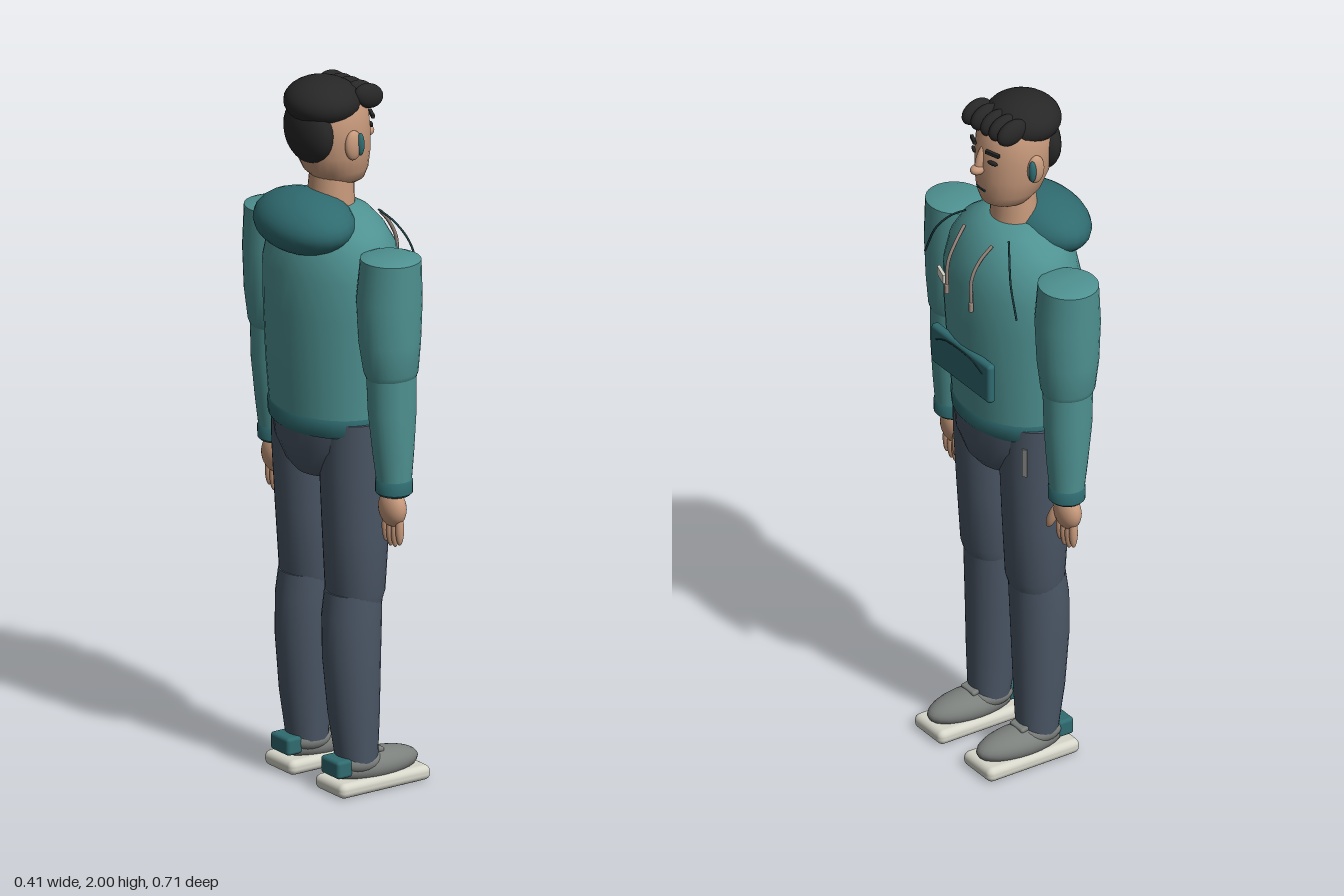
import * as THREE from 'three';
import { toCreasedNormals } from 'three/addons/utils/BufferGeometryUtils.js';
import { RoundedBoxGeometry } from 'three/addons/geometries/RoundedBoxGeometry.js';

const paint = (name, color) => Object.assign(new THREE.MeshStandardMaterial({ color }), { name });

// Stacked elliptical rings [y, centreX, centreZ, radiusX, radiusZ], from the bottom up, with closed ends.
function loft(rings, sides = 28) {
  const pos = [], index = [];
  for (const [y, cx, cz, rx, rz] of rings) {
    for (let i = 0; i < sides; i++) {
      const a = (i / sides) * Math.PI * 2;
      pos.push(cx + rx * Math.cos(a), y, cz + rz * Math.sin(a));
    }
  }
  const last = rings.length - 1, low = rings.length * sides, high = low + 1;
  pos.push(rings[0][1], rings[0][0], rings[0][2], rings[last][1], rings[last][0], rings[last][2]);
  for (let i = 0; i < sides; i++) {
    const n = (i + 1) % sides;
    for (let r = 0; r < last; r++) {
      const a = r * sides + i, b = r * sides + n;
      index.push(a, a + sides, b, b, a + sides, b + sides);
    }
    index.push(low, i, n, high, last * sides + n, last * sides + i);
  }
  const g = new THREE.BufferGeometry();
  g.setAttribute('position', new THREE.Float32BufferAttribute(pos, 3));
  g.setIndex(index);
  return toCreasedNormals(g, 0.75);
}

const tube = (points, r) => new THREE.TubeGeometry(
  new THREE.CatmullRomCurve3(points.map(p => new THREE.Vector3(...p))), 16, r, 6);

export function createModel() {
  const teal = paint('hoodie teal', 0x4f9292);
  const deepTeal = paint('deep teal', 0x2f6b70);
  const denim = paint('trouser slate', 0x4b5766);
  const skin = paint('skin', 0xc89a7c);
  const black = paint('hair black', 0x272727);
  const grey = paint('shoe grey', 0x7c807d);
  const cream = paint('sole cream', 0xd6d6ca);
  const cord = paint('cord taupe', 0x9a8a80);
  const seam = paint('seam dark', 0x1f4045);

  const model = new THREE.Group();
  model.name = 'standingMan';

  const add = (name, geometry, material, parent = model) => {
    const mesh = new THREE.Mesh(geometry, material);
    mesh.name = name;
    parent.add(mesh);
    return mesh;
  };
  const ball = (name, mat, [x, y, z], [rx, ry, rz], parent = model) => {
    const mesh = add(name, new THREE.SphereGeometry(1, 24, 16), mat, parent);
    mesh.position.set(x, y, z);
    mesh.scale.set(rx, ry, rz);
    return mesh;
  };
  const box = (name, mat, [x, y, z], [w, h, d], r, parent = model) => {
    const mesh = add(name, r ? new RoundedBoxGeometry(w, h, d, 3, r) : new THREE.BoxGeometry(w, h, d), mat, parent);
    mesh.position.set(x, y, z);
    return mesh;
  };

  // Hoodie body, hem and hood
  add('hoodieBody', loft([
    [1.06, 0, 0, 0.15, 0.195], [1.2, 0.002, 0, 0.163, 0.205], [1.36, 0.004, 0, 0.171, 0.213],
    [1.47, 0.004, 0, 0.169, 0.22], [1.54, 0.003, 0, 0.153, 0.206], [1.59, 0.001, 0, 0.128, 0.175],
    [1.625, 0, 0, 0.1, 0.125], [1.645, 0, 0, 0.065, 0.08]], 36), teal);
  add('hoodieHem', loft([
    [1.025, 0, 0, 0.146, 0.19], [1.035, 0, 0, 0.153, 0.197], [1.07, 0, 0, 0.155, 0.2],
    [1.08, 0, 0, 0.15, 0.196]], 36), deepTeal);
  ball('hood', deepTeal, [-0.088, 1.605, 0], [0.118, 0.083, 0.172]).rotation.z = 0.12;

  // Front pocket, chest label and drawstrings
  box('frontPocket', deepTeal, [0.164, 1.226, 0], [0.026, 0.118, 0.28], 0.011);
  add('pocketSeam', tube([[0.178, 1.25, 0.11], [0.179, 1.27, 0.06], [0.179, 1.27, -0.06], [0.178, 1.25, -0.11]], 0.002), seam);
  box('chestLabel', cream, [0.165, 1.452, 0.103], [0.009, 0.026, 0.054], 0).rotation.y = -0.3;
  for (const s of [1, -1]) {
    add('drawstring', tube([[0.115, 1.61, s * 0.066], [0.15, 1.57, s * 0.058],
      [0.175, 1.52, s * 0.056], [0.178, 1.44, s * 0.058]], 0.005), cord);
    box('drawstringTip', cord, [0.179, 1.435, s * 0.058], [0.012, 0.03, 0.012], 0.004);
    add('sleeveSeam', tube([[0.085, 1.63, s * 0.1], [0.11, 1.6, s * 0.14],
      [0.132, 1.55, s * 0.178], [0.14, 1.46, s * 0.218]], 0.003), seam);
  }

  // Trouser seat
  add('trouserSeat', loft([
    [0.89, 0.005, 0, 0.1, 0.1], [0.92, 0.005, 0, 0.125, 0.13], [0.98, 0.004, 0, 0.146, 0.17],
    [1.06, 0.002, 0, 0.149, 0.186]]), denim);
  box('trouserTag', grey, [0.082, 0.97, -0.172], [0.008, 0.085, 0.014], 0).rotation.y = 0.75;

  for (const s of [1, -1]) {
    // Arm
    const arm = new THREE.Group();
    arm.name = s > 0 ? 'rightArm' : 'leftArm';
    model.add(arm);
    add('upperSleeve', loft([
      [1.2, 0.008, s * 0.268, 0.05, 0.045], [1.21, 0.008, s * 0.268, 0.066, 0.062],
      [1.235, 0.007, s * 0.267, 0.075, 0.073], [1.32, 0.005, s * 0.264, 0.085, 0.084],
      [1.44, 0.005, s * 0.263, 0.09, 0.089], [1.555, 0.006, s * 0.268, 0.081, 0.086],
      [1.563, 0.006, s * 0.268, 0.06, 0.064]]), teal, arm);
    add('lowerSleeve', loft([
      [0.915, 0.014, s * 0.272, 0.046, 0.049], [1.0, 0.012, s * 0.271, 0.056, 0.056],
      [1.12, 0.009, s * 0.27, 0.067, 0.063], [1.23, 0.008, s * 0.268, 0.069, 0.067]]), teal, arm);
    add('cuff', loft([
      [0.885, 0.014, s * 0.272, 0.043, 0.045], [0.892, 0.014, s * 0.272, 0.05, 0.052],
      [0.925, 0.014, s * 0.272, 0.05, 0.053], [0.932, 0.014, s * 0.272, 0.045, 0.048]]), deepTeal, arm);
    // Hand
    ball('palm', skin, [0.01, 0.845, s * 0.27], [0.032, 0.052, 0.049], arm);
    for (let i = 0; i < 4; i++) {
      const reach = [0.008, 0, 0.002, 0.012][i];
      ball('finger', skin, [0.012, 0.778 + reach, s * (0.238 + i * 0.021)], [0.012, 0.045, 0.0115], arm);
    }
    const thumb = ball('thumb', skin, [0.03, 0.815, s * 0.228], [0.013, 0.04, 0.014], arm);
    thumb.rotation.set(s * 0.3, 0, 0.2);

    // Leg
    const leg = new THREE.Group();
    leg.name = s > 0 ? 'rightLeg' : 'leftLeg';
    model.add(leg);
    add('thigh', loft([
      [0.54, 0.004, s * 0.106, 0.07, 0.078], [0.57, 0.004, s * 0.106, 0.079, 0.086],
      [0.75, 0.004, s * 0.108, 0.09, 0.093], [0.92, 0.004, s * 0.11, 0.099, 0.099],
      [1.065, 0.003, s * 0.112, 0.1, 0.099]]), denim, leg);
    add('shin', loft([
      [0.09, 0.003, s * 0.114, 0.057, 0.06], [0.22, -0.005, s * 0.112, 0.07, 0.071],
      [0.38, -0.01, s * 0.109, 0.079, 0.08], [0.5, -0.008, s * 0.107, 0.081, 0.083],
      [0.57, -0.002, s * 0.106, 0.077, 0.081]]), denim, leg);
    // Shoe
    box('sole', cream, [0.055, 0.026, s * 0.117], [0.298, 0.042, 0.134], 0.018, leg);
    ball('shoeUpper', grey, [0.06, 0.065, s * 0.117], [0.137, 0.044, 0.06], leg);
    ball('shoeAnkle', grey, [0.005, 0.085, s * 0.115], [0.072, 0.038, 0.06], leg);
    box('shoeTongue', grey, [0.05, 0.112, s * 0.116], [0.05, 0.014, 0.06], 0.006, leg).rotation.z = -0.25;
    box('heelTab', deepTeal, [-0.064, 0.08, s * 0.116], [0.05, 0.05, 0.085], 0.01, leg);
  }

  // Neck and head
  add('neck', loft([[1.61, 0, 0, 0.066, 0.069], [1.67, 0, 0, 0.062, 0.067], [1.75, 0.004, 0, 0.058, 0.062]]), skin);
  const head = new THREE.Group();
  head.name = 'head';
  model.add(head);
  add('face', loft([
    [1.7, 0.03, 0, 0.05, 0.05], [1.71, 0.028, 0, 0.068, 0.066], [1.74, 0.016, 0, 0.09, 0.084],
    [1.79, 0.006, 0, 0.104, 0.097], [1.85, 0, 0, 0.109, 0.102], [1.91, -0.004, 0, 0.106, 0.1],
    [1.96, -0.006, 0, 0.085, 0.08], [1.985, -0.006, 0, 0.04, 0.04]]), skin, head);
  ball('noseBridge', skin, [0.108, 1.845, 0], [0.015, 0.045, 0.012], head).rotation.z = 0.28;
  ball('noseTip', skin, [0.118, 1.818, 0], [0.022, 0.015, 0.017], head);
  box('mouth', seam, [0.106, 1.755, 0], [0.007, 0.005, 0.036], 0, head);
  for (const s of [1, -1]) {
    ball('ear', skin, [0, 1.83, s * 0.104], [0.026, 0.042, 0.015], head);
    ball('earbud', deepTeal, [0.017, 1.832, s * 0.113], [0.011, 0.032, 0.011], head);
    ball('eye', black, [0.1, 1.853, s * 0.045], [0.005, 0.007, 0.016], head).rotation.y = -s * 0.4;
    const brow = box('eyebrow', black, [0.101, 1.883, s * 0.046], [0.009, 0.01, 0.042], 0, head);
    brow.rotation.set(s * 0.1, -s * 0.4, 0);
  }

  // Hair: crown, back and a row of fringe locks
  ball('hairCrown', black, [-0.028, 1.935, 0], [0.104, 0.066, 0.108], head);
  ball('hairBack', black, [-0.073, 1.86, 0], [0.049, 0.092, 0.096], head);
  [-0.072, -0.037, -0.003, 0.037, 0.073].forEach((z, i) => {
    const lock = ball('fringeLock', black, [0.056 + i * 0.004, 1.948, z], [0.047, 0.034, 0.023], head);
    lock.rotation.z = -0.35;
  });

  return model;
}
